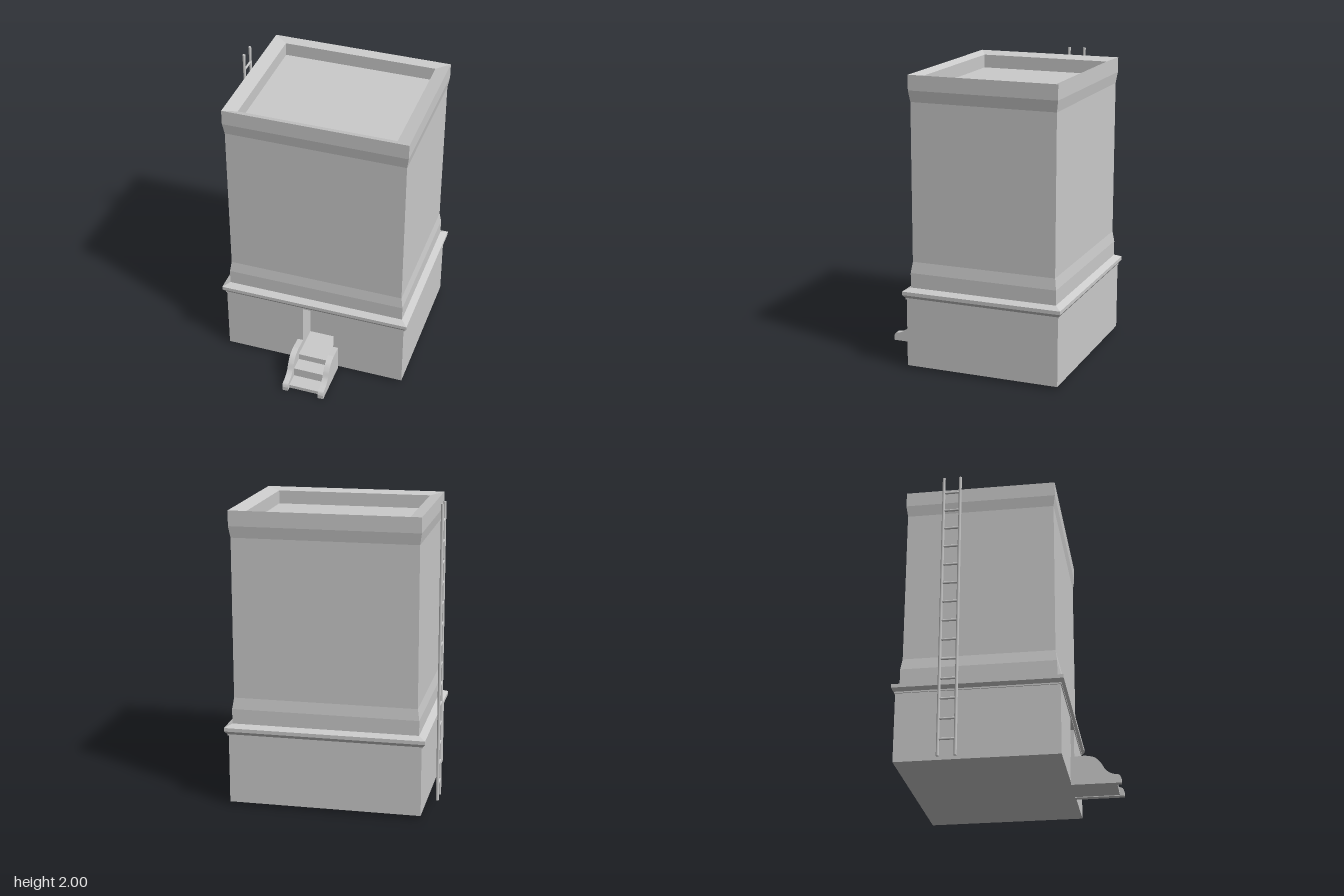
import * as THREE from 'three';

const material = new THREE.MeshStandardMaterial({ color: 0xcccccc });

function add(parent, name, geometry, x = 0, y = 0, z = 0) {
  const mesh = new THREE.Mesh(geometry, material);
  mesh.name = name;
  mesh.position.set(x, y, z);
  parent.add(mesh);
  return mesh;
}

// Stacks rectangles [halfX, y, halfZ] into a closed, hard-edged shell
function rectLoft(rings) {
  const corners = rings.map(([hx, y, hz]) =>
    [[hx, y, hz], [hx, y, -hz], [-hx, y, -hz], [-hx, y, hz]]);
  const pos = [];
  const quad = (a, b, c, d) => pos.push(...a, ...b, ...c, ...a, ...c, ...d);
  for (let r = 0; r < corners.length - 1; r++) {
    for (let i = 0; i < 4; i++) {
      const j = (i + 1) % 4;
      quad(corners[r][i], corners[r][j], corners[r + 1][j], corners[r + 1][i]);
    }
  }
  const [a, b, c, d] = corners[0];
  quad(d, c, b, a);
  quad(...corners[corners.length - 1]);
  const geometry = new THREE.BufferGeometry();
  geometry.setAttribute('position', new THREE.Float32BufferAttribute(pos, 3));
  geometry.computeVertexNormals();
  return geometry;
}

// Extrudes a (z, y) profile across x, from xMin to xMax
function sideExtrude(shape, xMin, xMax) {
  const geometry = new THREE.ExtrudeGeometry(shape, {
    depth: xMax - xMin, bevelEnabled: false, curveSegments: 24,
  });
  geometry.rotateY(-Math.PI / 2);
  geometry.translate(xMax, 0, 0);
  return geometry;
}

const points = (list) => list.map(([x, y]) => new THREE.Vector2(x, y));

export function createModel() {
  const model = new THREE.Group();
  model.name = 'building';
  const cx = 0.025, cz = -0.15;
  const doorLeft = -0.055, doorRight = 0.165, frontZ = 0.375, recessZ = 0.22;

  // Ground storey with a doorway recess, drawn in plan (y = -z)
  const plan = new THREE.Shape(points([
    [-0.61, -frontZ], [doorLeft, -frontZ], [doorLeft, -recessZ], [doorRight, -recessZ],
    [doorRight, -frontZ], [0.66, -frontZ], [0.66, 0.675], [-0.61, 0.675],
  ]));
  const base = new THREE.ExtrudeGeometry(plan, { depth: 0.46, bevelEnabled: false });
  base.rotateX(-Math.PI / 2);
  add(model, 'groundStorey', base, 0, 0.02, 0);
  add(model, 'doorwayFloor', new THREE.BoxGeometry(doorRight - doorLeft, 0.12, frontZ - recessZ),
    (doorLeft + doorRight) / 2, 0.08, (frontZ + recessZ) / 2);

  // Ledge above the ground storey
  add(model, 'ledge', rectLoft([
    [0.642, 0.48, 0.531], [0.642, 0.49, 0.531], [0.66, 0.512, 0.547],
    [0.66, 0.536, 0.547], [0.615, 0.556, 0.503],
  ]), cx, 0, cz);

  // Upper storeys with flared ends, sloping parapet and sunken roof
  add(model, 'upperStoreys', rectLoft([
    [0.615, 0.55, 0.503], [0.615, 0.655, 0.503], [0.603, 0.73, 0.492],
    [0.603, 1.785, 0.492], [0.615, 1.86, 0.503], [0.615, 1.96, 0.503],
    [0.525, 1.94, 0.4475], [0.525, 1.85, 0.4475],
  ]), cx, 0, cz);

  // Front steps
  const stairs = new THREE.Group();
  stairs.name = 'frontSteps';
  model.add(stairs);
  const stepShape = new THREE.Shape(points([
    [frontZ, 0.005], [0.67, 0.005], [0.67, 0.03], [0.57, 0.03], [0.57, 0.095],
    [0.47, 0.095], [0.47, 0.14], [frontZ, 0.14],
  ]));
  add(stairs, 'steps', sideExtrude(stepShape, doorLeft, 0.16));

  // Curved side walls of the steps
  const wall = new THREE.Shape();
  wall.moveTo(frontZ, 0);
  wall.lineTo(0.7, 0);
  wall.lineTo(0.7, 0.03);
  wall.splineThru(points([
    [0.685, 0.055], [0.64, 0.065], [0.6, 0.093], [0.57, 0.142], [0.53, 0.18], [0.47, 0.195],
  ]));
  wall.lineTo(frontZ, 0.19);
  wall.closePath();
  add(stairs, 'rightStepWall', sideExtrude(wall, -0.095, doorLeft));
  add(stairs, 'leftStepWall', sideExtrude(wall, 0.16, 0.2));

  // Ladder beside the right wall
  const ladder = new THREE.Group();
  ladder.name = 'ladder';
  ladder.position.set(-0.677, 0, -0.325);
  model.add(ladder);
  for (const side of [-1, 1]) {
    add(ladder, 'ladderRail', new THREE.CylinderGeometry(0.01, 0.01, 1.98, 8), 0, 1.01, side * 0.055);
  }
  const rung = new THREE.CylinderGeometry(0.008, 0.008, 0.11, 8);
  rung.rotateX(Math.PI / 2);
  for (let i = 0; i < 14; i++) add(ladder, 'ladderRung', rung, 0, 0.13 + i * 0.135, 0);

  return model;
}
